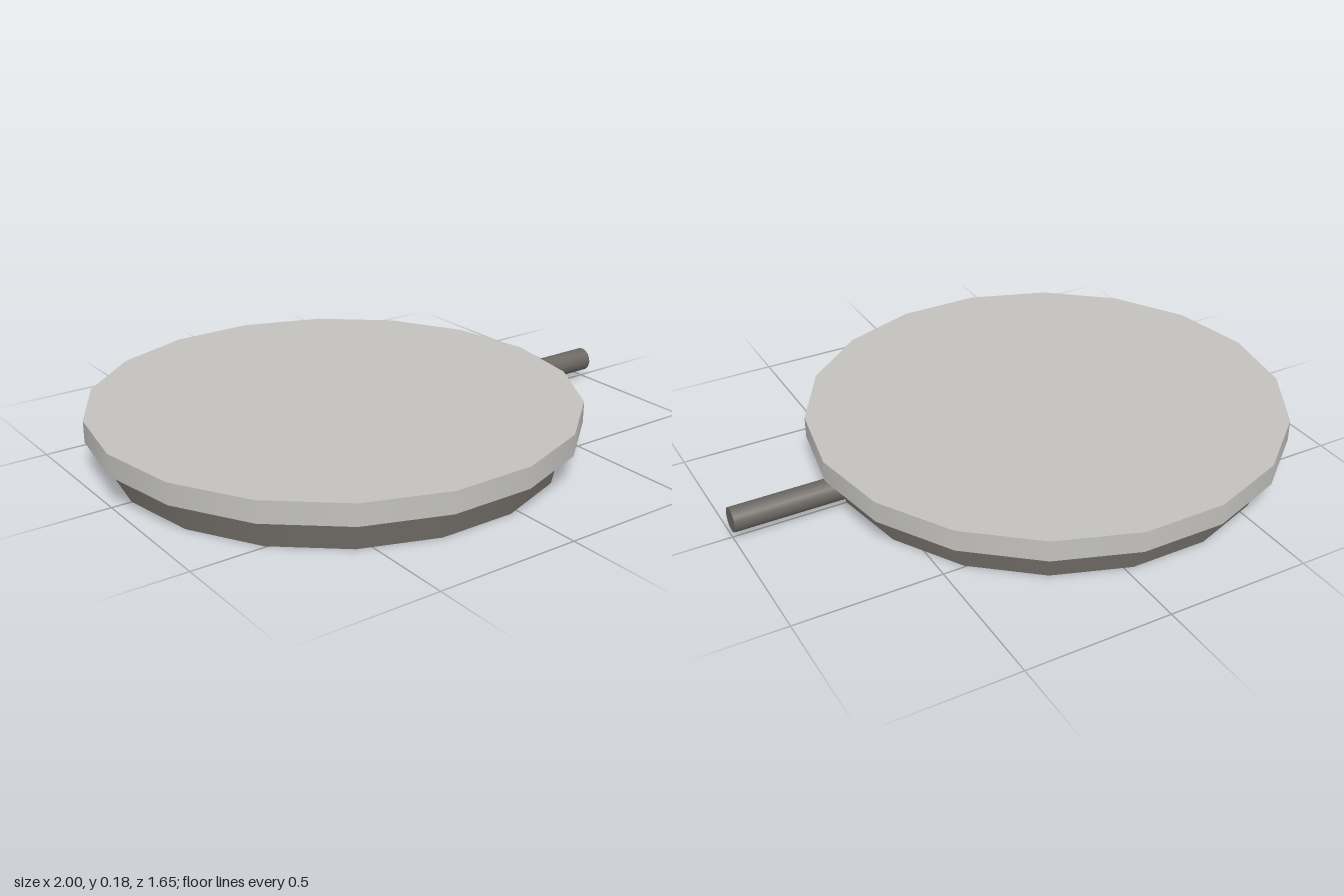
import * as THREE from 'three';

const CENTRE_X = -0.163;
const SIDES = 18;

export function createModel() {
  const model = new THREE.Group();
  model.name = 'roundPan';

  const lightGrey = new THREE.MeshStandardMaterial({ color: 0xc2c1be });
  lightGrey.name = 'lightGrey';
  const darkGrey = new THREE.MeshStandardMaterial({ color: 0x6b6762 });
  darkGrey.name = 'darkGrey';

  // Eighteen-sided disc with a corner pointing along the x axis
  function disc(name, radius, bottom, top, material) {
    const geometry = new THREE.CylinderGeometry(radius, radius, top - bottom, SIDES, 1, false, Math.PI / 2);
    const mesh = new THREE.Mesh(geometry, material);
    mesh.name = name;
    mesh.position.set(CENTRE_X, (bottom + top) / 2, 0);
    model.add(mesh);
  }

  disc('base', 0.768, 0, 0.107, darkGrey);
  disc('lid', 0.837, 0.107, 0.181, lightGrey);

  // Straight round handle, its inner end sunk into the base
  const start = 0.55, end = 1;
  const handle = new THREE.Mesh(new THREE.CylinderGeometry(0.042, 0.042, end - start, 18), darkGrey);
  handle.name = 'handle';
  handle.rotation.z = -Math.PI / 2;
  handle.position.set((start + end) / 2, 0.067, 0);
  model.add(handle);

  return model;
}
